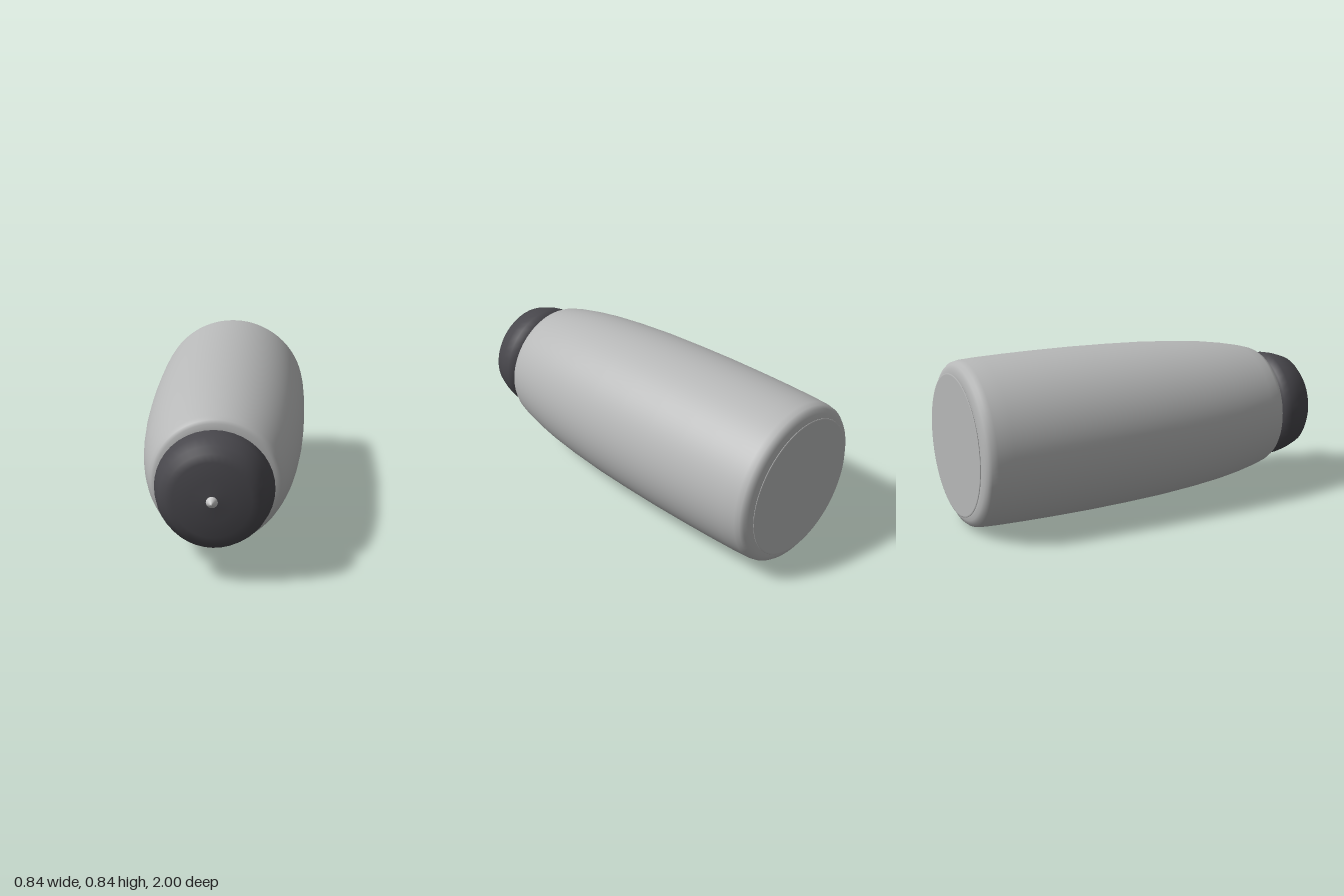
import * as THREE from 'three';

const AXIS_HEIGHT = 0.42;

// Surface of revolution about the z axis; profile is [z, radius] from back to front
function turned(name, profile, segments, material) {
  const points = profile.map(([z, r]) => new THREE.Vector2(r, z));
  const geometry = new THREE.LatheGeometry(points, segments);
  geometry.rotateX(Math.PI / 2);
  const mesh = new THREE.Mesh(geometry, material);
  mesh.name = name;
  mesh.position.y = AXIS_HEIGHT;
  return mesh;
}

export function createModel() {
  const shell = new THREE.MeshStandardMaterial({ color: 0xb7b8b8 });
  shell.name = 'light grey shell';
  const dark = new THREE.MeshStandardMaterial({ color: 0x48474c });
  dark.name = 'charcoal cap';
  const pale = new THREE.MeshStandardMaterial({ color: 0xc8c8c8 });
  pale.name = 'pale tip';

  const model = new THREE.Group();
  model.name = 'taperedCapsule';

  // Long tapered barrel with rounded shoulders, closed at both ends
  model.add(turned('body', [
    [-0.984, 0], [-0.985, 0.34], [-0.985, 0.35], [-0.982, 0.372], [-0.974, 0.392],
    [-0.958, 0.405], [-0.93, 0.411], [-0.85, 0.415], [-0.7, 0.418], [-0.55, 0.419],
    [-0.35, 0.418], [-0.15, 0.413], [0.05, 0.405], [0.25, 0.39], [0.4, 0.374],
    [0.52, 0.355], [0.62, 0.334], [0.68, 0.317], [0.705, 0.304], [0.715, 0.288],
    [0.719, 0.26], [0.719, 0.25], [0.719, 0],
  ], 96, shell));

  // Thin end plate, slightly proud of the back with a narrow gap
  model.add(turned('backPlate', [
    [-1, 0], [-1, 0.345], [-0.9995, 0.351], [-0.997, 0.353], [-0.995, 0.35], [-0.995, 0],
  ], 96, shell));

  // Spindle joining the plate and cap to the barrel
  model.add(turned('backSpindle', [[-0.996, 0.3], [-0.98, 0.3]], 48, shell));
  model.add(turned('frontNeck', [[0.71, 0.2], [0.74, 0.2]], 48, dark));

  // Dark domed cap
  model.add(turned('cap', [
    [0.725, 0], [0.725, 0.2], [0.732, 0.235], [0.75, 0.262], [0.783, 0.28],
    [0.84, 0.269], [0.905, 0.245], [0.932, 0.215], [0.945, 0.18], [0.955, 0.1], [0.963, 0],
  ], 40, dark));

  // Small pointed tip
  model.add(turned('tip', [[0.958, 0.02], [0.967, 0.027], [1, 0]], 24, pale));

  return model;
}
